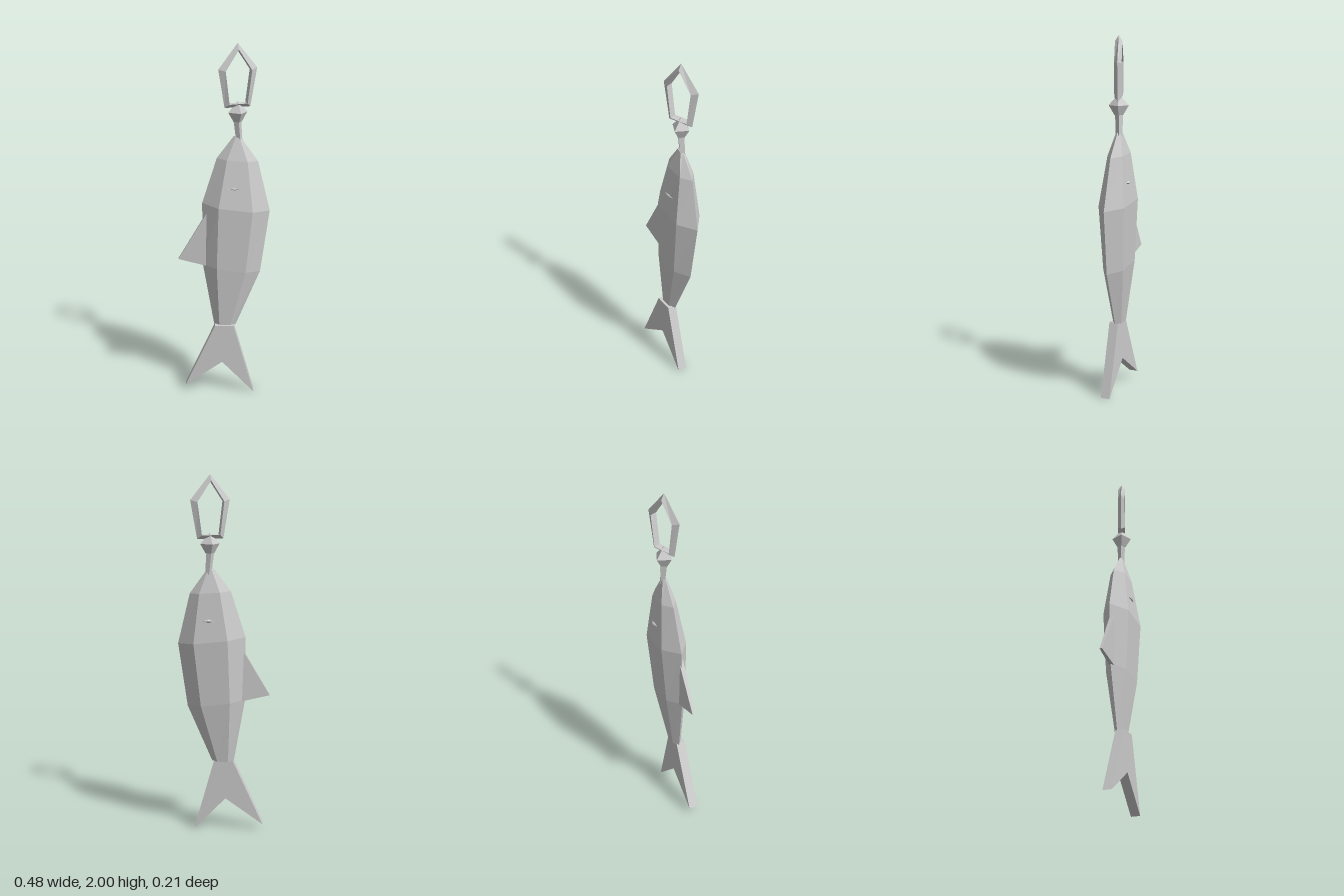
import * as THREE from 'three';

const grey = new THREE.MeshStandardMaterial({ color: 0xcccccc, flatShading: true });
grey.name = 'plain grey';

function add(parent, name, geometry, x = 0, y = 0, z = 0) {
  const mesh = new THREE.Mesh(geometry, grey);
  mesh.name = name;
  mesh.position.set(x, y, z);
  parent.add(mesh);
  return mesh;
}

// Skin a list of equal cross-sections; either joined end to start or capped.
function loft(rings, closed) {
  const n = rings[0].length, index = [];
  const count = closed ? rings.length : rings.length - 1;
  for (let i = 0; i < count; i++) {
    const a = i * n, b = ((i + 1) % rings.length) * n;
    for (let k = 0; k < n; k++) {
      const l = (k + 1) % n;
      index.push(a + k, a + l, b + l, a + k, b + l, b + k);
    }
  }
  if (!closed) {
    const t = (rings.length - 1) * n;
    for (let k = 1; k < n - 1; k++) index.push(0, k + 1, k, t, t + k, t + k + 1);
  }
  const g = new THREE.BufferGeometry();
  g.setAttribute('position', new THREE.Float32BufferAttribute(rings.flat(2), 3));
  g.setIndex(index);
  g.computeVertexNormals();
  return g;
}

// Flat plate from an outline, centred on its thickness.
function plate(points, depth) {
  const shape = new THREE.Shape(points.map(p => new THREE.Vector2(...p)));
  return new THREE.ExtrudeGeometry(shape, { depth, bevelEnabled: false }).translate(0, 0, -depth / 2);
}

export function createModel() {
  const model = new THREE.Group();
  model.name = 'hangingFish';

  // The fish is turned about the vertical; its parts share this frame.
  const fish = new THREE.Group();
  fish.name = 'fish';
  fish.rotation.y = -0.355;
  model.add(fish);

  // Body: hexagonal sections [height, centre x, centre z, half length, half width, tilt]
  const sections = [
    [0.405, 0.003, 0.002, 0.061, 0.025, 0],
    [0.745, 0.039, -0.011, 0.16, 0.059, 0.02],
    [1.1, 0.063, -0.018, 0.186, 0.075, 0.02],
    [1.367, 0.07, -0.026, 0.112, 0.043, 0.008],
    [1.49, 0.072, -0.026, 0.022, 0.012, 0.008],
  ];
  add(fish, 'body', loft(sections.map(([y, cx, cz, hx, hz, tilt]) =>
    Array.from({ length: 6 }, (_, k) => {
      const a = k * Math.PI / 3, c = Math.cos(a);
      return [cx + hx * c, y - tilt * c, cz - hz * Math.sin(a) / Math.sin(Math.PI / 3)];
    })), false));

  // Forked tail
  add(fish, 'tail', plate([
    [-0.052, 0.41], [-0.222, 0.037], [-0.012, 0.185], [0.167, 0], [0.052, 0.41],
  ], 0.052), 0, 0, 0.016);

  // Dorsal fin, thinning towards its tip
  const fin = plate([[-0.08, 1.096], [-0.258, 0.795], [-0.07, 0.75]], 0.028);
  const p = fin.attributes.position;
  for (let i = 0; i < p.count; i++) if (p.getX(i) < -0.2) p.setZ(i, p.getZ(i) * 0.5);
  fin.computeVertexNormals();
  add(fish, 'dorsalFin', fin, 0, 0, -0.01);

  // Narrow eyes on both flanks
  add(fish, 'leftEye', new THREE.OctahedronGeometry(1).scale(0.04, 0.006, 0.007), 0.055, 1.217, 0.04);
  add(fish, 'rightEye', new THREE.OctahedronGeometry(1).scale(0.03, 0.01, 0.012), 0.075, 1.217, -0.083);

  // Stem and swivel bead, both four-sided
  const stem = add(model, 'stem', new THREE.CylinderGeometry(0.022, 0.017, 0.14, 4), 0.08, 1.52, 0);
  stem.rotation.z = 0.1;
  const profile = [[0, 1.575], [0.024, 1.578], [0.054, 1.63], [0.018, 1.67], [0, 1.69]];
  add(model, 'bead', new THREE.LatheGeometry(profile.map(q => new THREE.Vector2(...q)), 4), 0.075, 0, 0.002);

  // Five-sided hanging link with a triangular section: [outer x, y, inner x, y]
  const corners = [
    [0.073, 2, 0.073, 1.967], [-0.035, 1.865, 0, 1.855], [0, 1.657, 0.022, 1.677],
    [0.146, 1.657, 0.124, 1.677], [0.183, 1.865, 0.148, 1.855],
  ];
  add(model, 'link', loft(corners.map(([ox, oy, ix, iy]) =>
    [[ox, oy, 0.002], [ix, iy, -0.018], [ix, iy, 0.022]]), true));

  return model;
}
